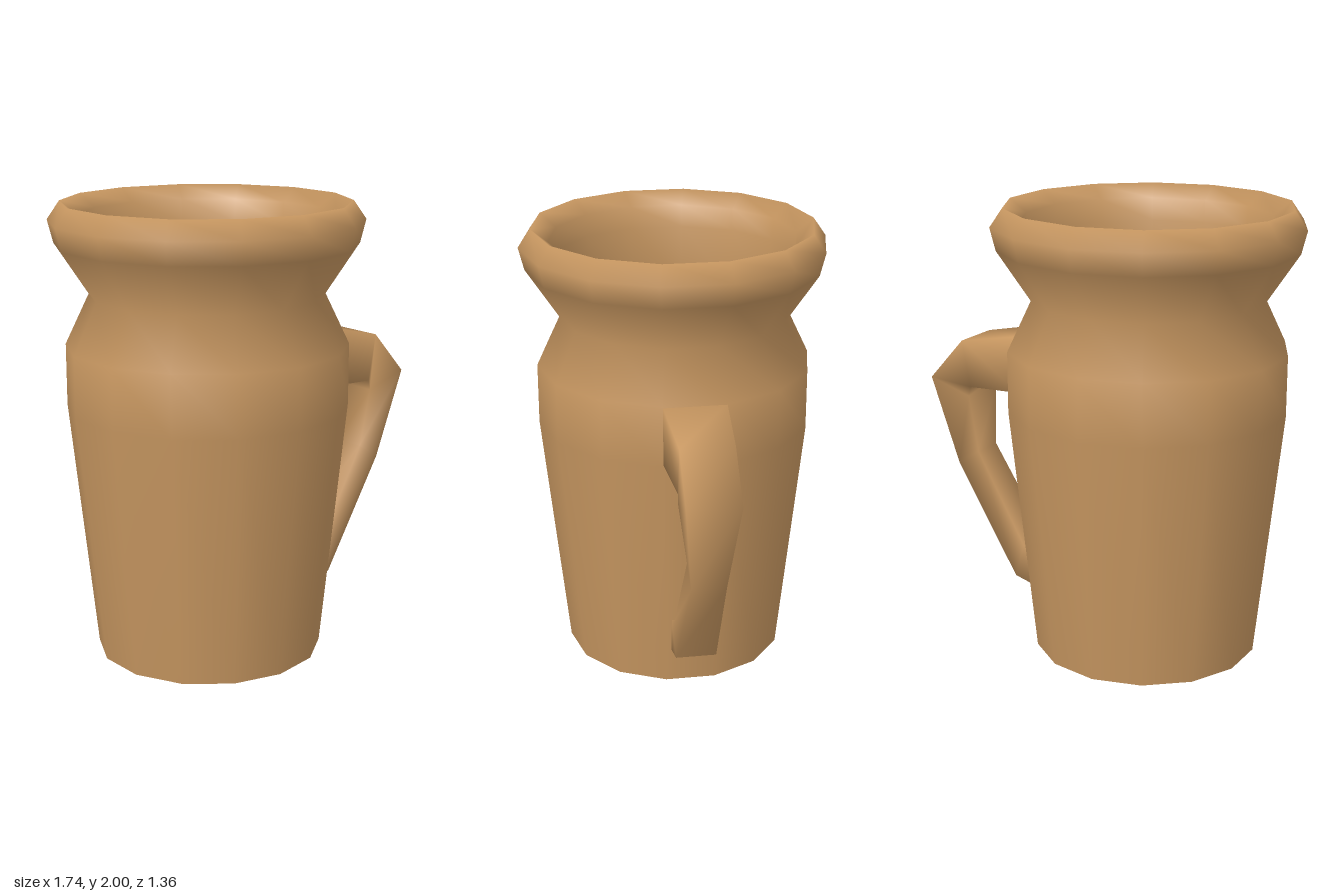
import * as THREE from 'three';

const material = new THREE.MeshStandardMaterial({ color: 0xc69660, side: THREE.DoubleSide });

// Fourteen-sided vessel: outer wall, rounded rim, inner wall and floor in one profile
function makeBody() {
  const profile = [
    [0, 0], [0.5, 0], [0.5, 0], [0.615, 1.11], [0.615, 1.38], [0.51, 1.6],
    [0.655, 1.82], [0.68, 1.92], [0.625, 2], [0.55, 1.94],
    [0.545, 1.84], [0.49, 1.6], [0.58, 1.38], [0.58, 1.11], [0.47, 0.06], [0, 0.06],
  ].map(([r, y]) => new THREE.Vector2(r, y));
  const body = new THREE.Mesh(new THREE.LatheGeometry(profile, 14), material);
  body.name = 'body';
  body.position.x = -0.21;
  return body;
}

// Angular handle: rectangular sections given by outer point, inner point and half width
function makeHandle() {
  const sections = [
    [0.38, 1.38, 0.38, 1.12, 0.137],
    [0.69, 1.32, 0.65, 1.105, 0.115],
    [0.865, 1.125, 0.66, 1.06, 0.115],
    [0.75, 0.71, 0.64, 0.78, 0.075],
    [0.435, 0.205, 0.39, 0.365, 0.09],
    [0.28, 0.16, 0.29, 0.315, 0.09],
  ];
  const positions = [];
  const index = [];
  sections.forEach(([ox, oy, ix, iy, w], i) => {
    positions.push(ox, oy, w, ox, oy, -w, ix, iy, -w, ix, iy, w);
    if (i === 0) return;
    for (let k = 0; k < 4; k++) {
      const a = (i - 1) * 4 + k;
      const b = (i - 1) * 4 + ((k + 1) % 4);
      index.push(a, a + 4, b, b, a + 4, b + 4);
    }
  });
  const geometry = new THREE.BufferGeometry();
  geometry.setAttribute('position', new THREE.Float32BufferAttribute(positions, 3));
  geometry.setIndex(index);
  geometry.computeVertexNormals();
  const handle = new THREE.Mesh(geometry, material);
  handle.name = 'handle';
  return handle;
}

export function createModel() {
  const group = new THREE.Group();
  group.name = 'mug';
  group.add(makeBody(), makeHandle());
  return group;
}
